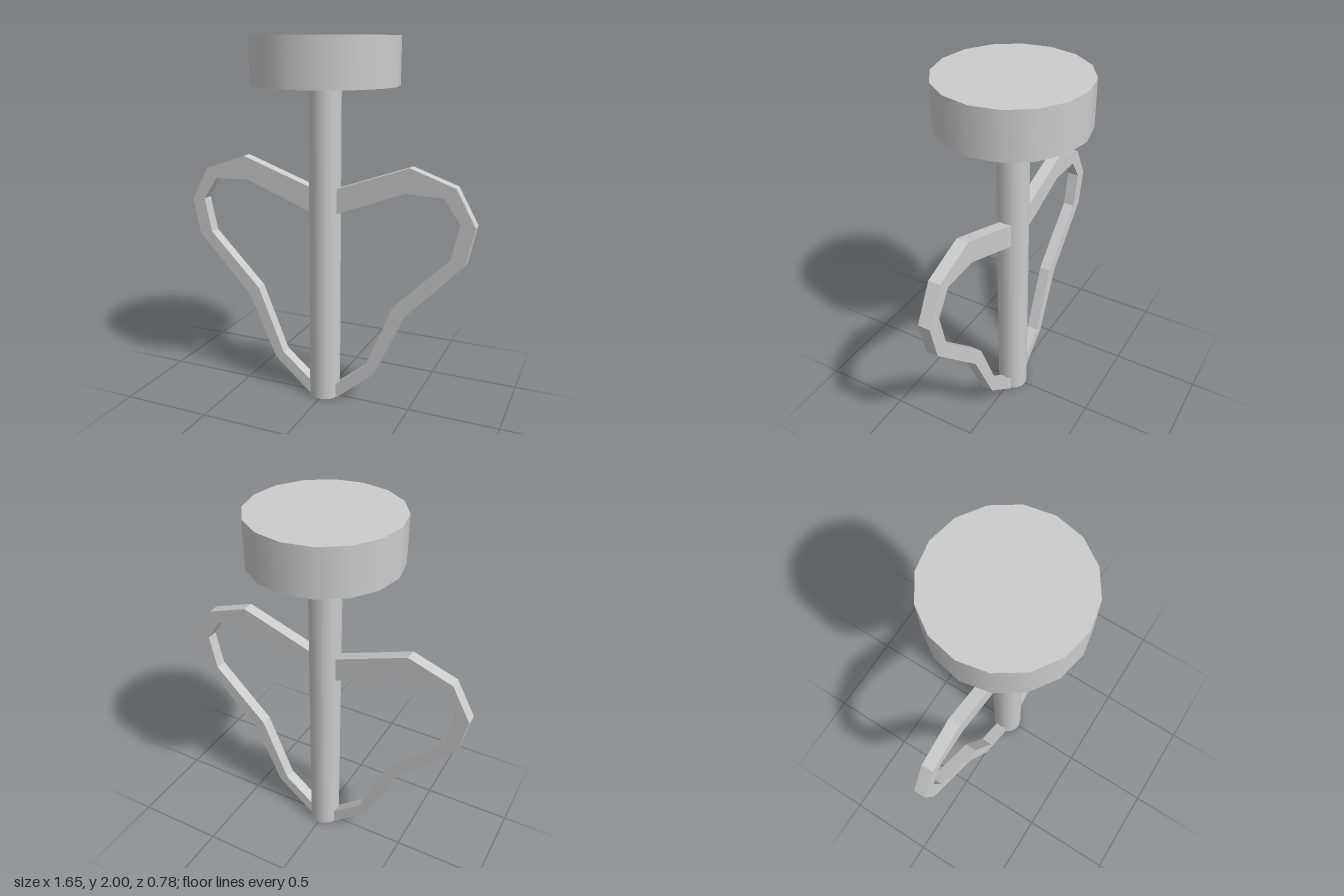
import * as THREE from 'three';

// Outer edge of one handle from bottom to top, then its inner edge back down
const OUTLINE = [
  [0.078, 0], [0.085, 0], [0.30, 0.185], [0.462, 0.545], [0.78, 0.88], [0.823, 1.08],
  [0.718, 1.27], [0.477, 1.355], [0.078, 1.213],
  [0.078, 1.077], [0.457, 1.223], [0.66, 1.215], [0.745, 1.09], [0.703, 0.895],
  [0.402, 0.592], [0.25, 0.22], [0.078, 0.08],
];
const THICKNESS = 0.065;

export function createModel() {
  const group = new THREE.Group();
  const solid = new THREE.MeshStandardMaterial({ color: 0xcccccc });
  const open = new THREE.MeshStandardMaterial({ color: 0xcccccc, side: THREE.DoubleSide });

  const add = (name, geometry, material, y = 0) => {
    const mesh = new THREE.Mesh(geometry, material);
    mesh.name = name;
    mesh.position.y = y;
    group.add(mesh);
  };

  // Flat round cap on top
  add('topDisc', new THREE.CylinderGeometry(0.39, 0.39, 0.25, 16), solid, 1.875);

  // Hollow shaft, open at the bottom
  add('shaft', new THREE.CylinderGeometry(0.086, 0.086, 1.75, 16, 1, true), open, 0.875);

  // Mirrored pair of flat, bent-bar loops
  for (const [name, side] of [['leftLoop', 1], ['rightLoop', -1]]) {
    const shape = new THREE.Shape(OUTLINE.map(([x, y]) => new THREE.Vector2(side * x, y)));
    const geometry = new THREE.ExtrudeGeometry(shape, { depth: THICKNESS, bevelEnabled: false });
    geometry.translate(0, 0, -THICKNESS / 2);
    add(name, geometry, solid);
  }

  return group;
}
